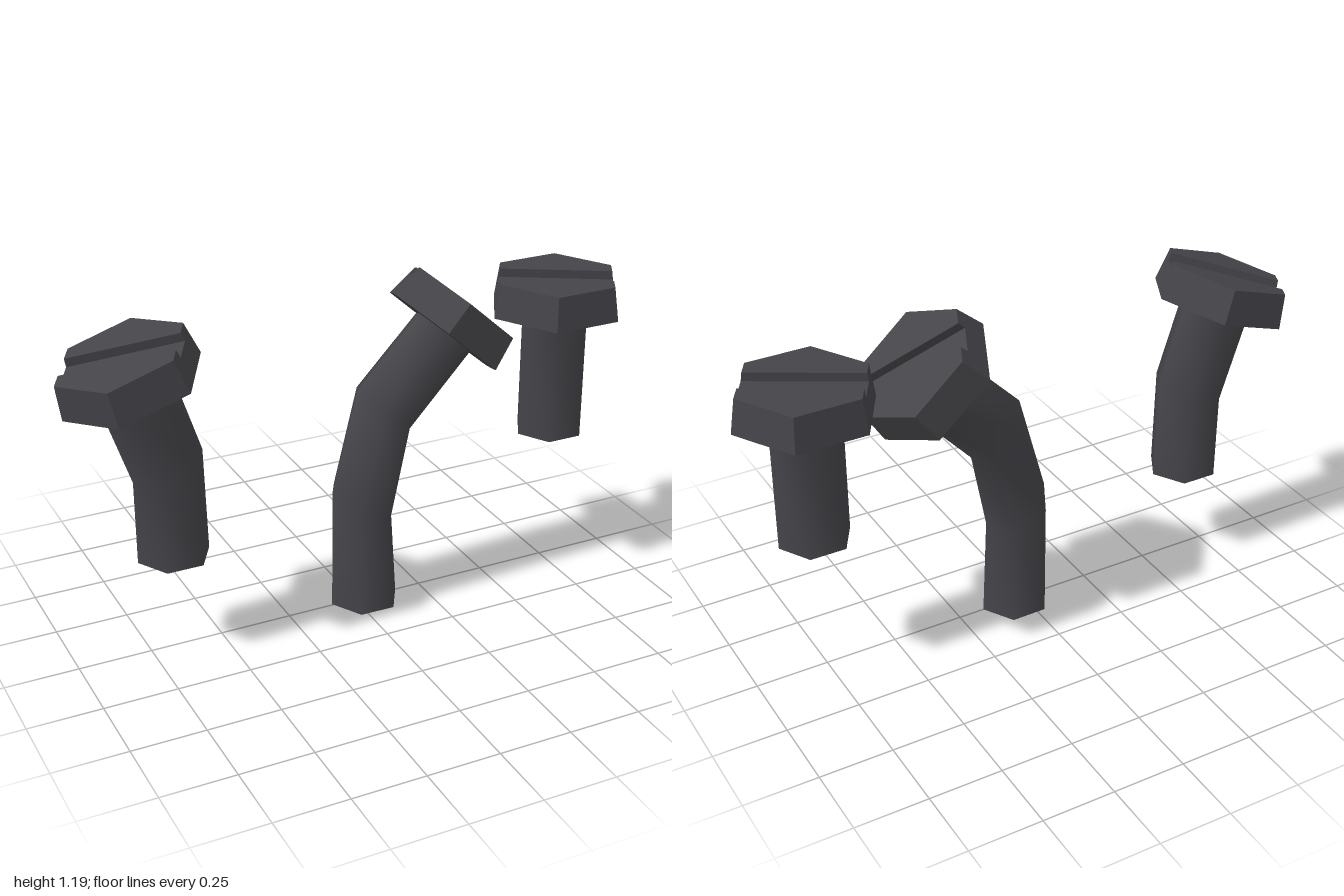
import * as THREE from 'three';

const HEAD_H = 0.118, SLOT_Y = 0.088, SLOT_HALF = 0.049;
const SHAFT_R = 0.123;
const headRadius = (y) => 0.239 - (0.019 * y) / HEAD_H;

// flat-faced solid between two matching (x, z) outlines
function frustum(lower, upper, y0, y1, withBase) {
  const pos = [];
  const lo = lower.map(([x, z]) => [x, y0, z]);
  const up = upper.map(([x, z]) => [x, y1, z]);
  const tri = (...corners) => corners.forEach((c) => pos.push(...c));
  const n = lo.length;
  for (let i = 0; i < n; i++) {
    const j = (i + 1) % n;
    tri(lo[i], up[i], up[j]);
    tri(lo[i], up[j], lo[j]);
    if (i > 0 && i < n - 1) {
      tri(up[0], up[j], up[i]);
      if (withBase) tri(lo[0], lo[i], lo[j]);
    }
  }
  const g = new THREE.BufferGeometry();
  g.setAttribute('position', new THREE.Float32BufferAttribute(pos, 3));
  g.computeVertexNormals();
  return g;
}

// hexagon with flat sides facing the ends of the slot (local x)
function hexagon(r) {
  return Array.from({ length: 6 }, (_, i) => {
    const a = Math.PI / 6 + (i * Math.PI) / 3;
    return [r * Math.cos(a), r * Math.sin(a)];
  });
}

// the part of the hexagon on one side of the slot
function halfHexagon(r) {
  const a = r * Math.cos(Math.PI / 6);
  return [[a, SLOT_HALF], [a, r / 2], [0, r], [-a, r / 2], [-a, SLOT_HALF]];
}

// smooth six-sided open tube; each ring is [leftX, leftY, rightX, rightY]
function shaftGeometry(rings) {
  const pos = [], idx = [];
  rings.forEach(([lx, ly, rx, ry], k) => {
    for (let i = 0; i < 6; i++) {
      const a = (i * Math.PI) / 3, t = (1 + Math.cos(a)) / 2;
      pos.push(lx + (rx - lx) * t, ly + (ry - ly) * t, SHAFT_R * Math.sin(a));
      if (k < rings.length - 1) {
        const p = k * 6 + i, q = k * 6 + ((i + 1) % 6);
        idx.push(p, p + 6, q + 6, p, q + 6, q);
      }
    }
  });
  const g = new THREE.BufferGeometry();
  g.setAttribute('position', new THREE.Float32BufferAttribute(pos, 3));
  g.setIndex(idx);
  g.computeVertexNormals();
  return g;
}

export function createModel() {
  const model = new THREE.Group();
  model.name = 'bolts';
  const metal = new THREE.MeshStandardMaterial({ color: 0x454449, side: THREE.DoubleSide });
  metal.name = 'dark metal';

  const add = (parent, geometry, name) => {
    const mesh = new THREE.Mesh(geometry, metal);
    mesh.name = name;
    parent.add(mesh);
    return mesh;
  };

  // slotted hexagonal head: a base with two raised halves
  const rBase = headRadius(0), rSlot = headRadius(SLOT_Y), rTop = headRadius(HEAD_H);
  const baseGeo = frustum(hexagon(rBase), hexagon(rSlot), 0, SLOT_Y, true);
  const halfGeo = frustum(halfHexagon(rSlot), halfHexagon(rTop), SLOT_Y, HEAD_H, false);

  function addBolt(name, rings, [hx, hy], tilt) {
    const bolt = new THREE.Group();
    bolt.name = name;
    add(bolt, shaftGeometry(rings), 'shaft');
    const head = new THREE.Group();
    head.name = 'head';
    head.position.set(hx, hy, 0);
    head.rotation.set(0, -Math.PI / 6, tilt, 'ZYX');
    add(head, baseGeo, 'headBase');
    add(head, halfGeo, 'headHalfA');
    add(head, halfGeo, 'headHalfB').rotation.y = Math.PI;
    bolt.add(head);
    model.add(bolt);
  }

  // straight bolt
  addBolt('straightBolt', [
    [0.637, 0.507, 0.883, 0.507],
    [0.637, 0.96, 0.883, 0.96],
  ], [0.761, 0.96], 0);

  // bolt with one bend
  addBolt('bentBolt', [
    [-0.778, 0.341, -0.532, 0.341],
    [-0.778, 0.631, -0.541, 0.7],
    [-0.874, 0.92, -0.636, 0.994],
  ], [-0.76, 0.96], 0.306);

  // long curved bolt
  addBolt('curvedBolt', [
    [-0.088, 0.003, 0.158, 0],
    [-0.083, 0.444, 0.137, 0.328],
    [0.013, 0.797, 0.195, 0.633],
    [0.24, 1.027, 0.414, 0.871],
  ], [0.321, 0.952], -0.731);

  return model;
}
